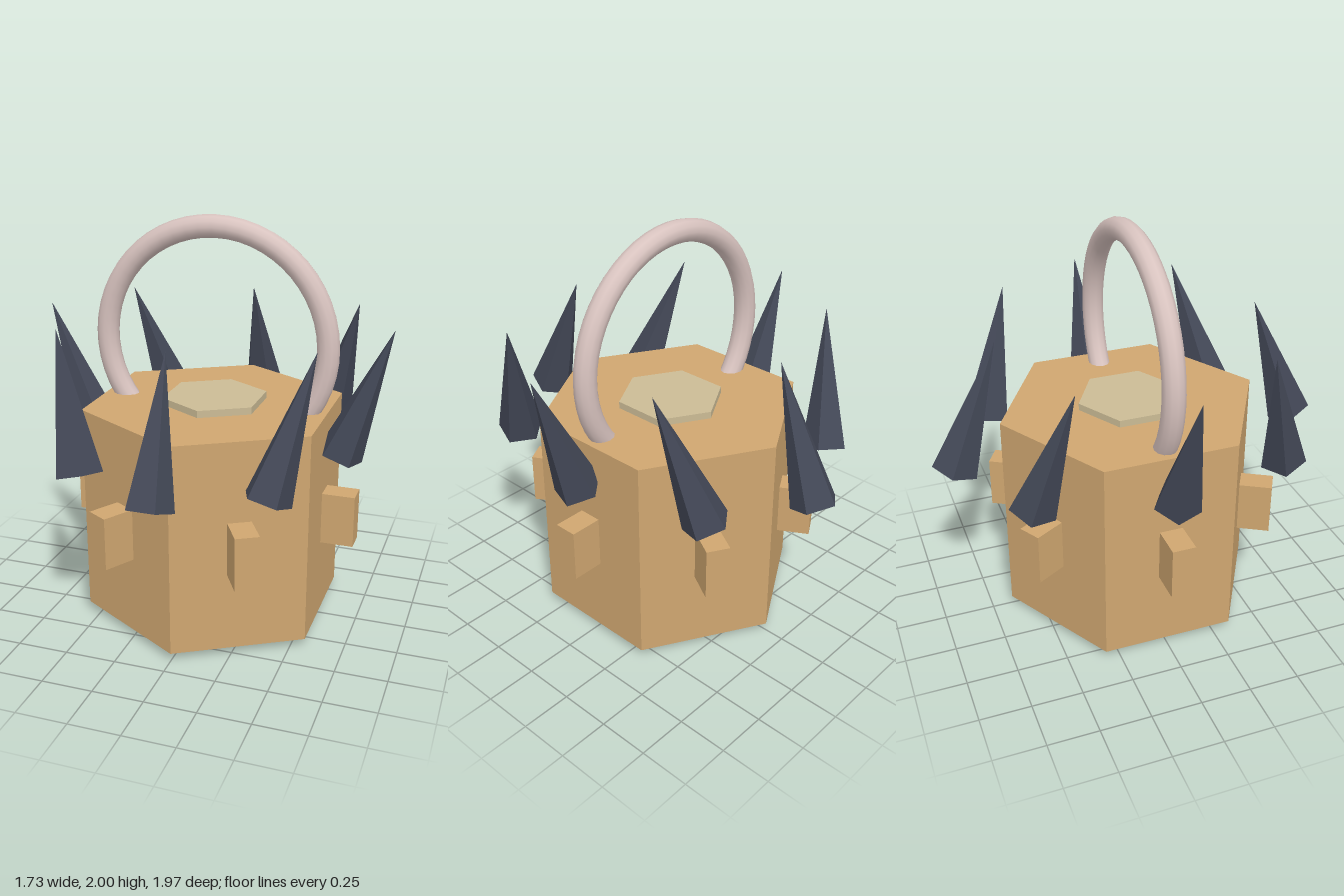
import * as THREE from 'three';

const mat = (name, color, flatShading = true) => {
  const m = new THREE.MeshStandardMaterial({ color, flatShading });
  m.name = name;
  return m;
};

export function createModel() {
  const tan = mat('tan body', 0xcfa670);
  const khaki = mat('khaki cap', 0xcbbb95);
  const slate = mat('slate spike', 0x434857);
  const pink = mat('pale pink handle', 0xd8c3bf, false);

  const model = new THREE.Group();
  const add = (name, geometry, material, x = 0, y = 0, z = 0) => {
    const mesh = new THREE.Mesh(geometry, material);
    mesh.name = name;
    mesh.position.set(x, y, z);
    model.add(mesh);
    return mesh;
  };

  // Six-sided body with a corner facing front
  add('body', new THREE.CylinderGeometry(0.655, 0.655, 1.045, 6), tan, 0, 0.5625);

  // Small hexagonal plates on top and bottom
  const plate = new THREE.CylinderGeometry(0.262, 0.262, 0.06, 6);
  add('topPlate', plate, khaki, 0, 1.09);
  add('bottomPlate', plate, khaki, 0, 0.03);

  // One block on each side face
  const block = new THREE.BoxGeometry(0.23, 0.26, 0.115);
  for (let i = 0; i < 6; i++) {
    const a = (i * Math.PI) / 3;
    add('sideBlock', block, tan, 0.613 * Math.cos(a), 0.56, 0.613 * Math.sin(a)).rotation.y = -a;
  }

  // Ring of eight spikes, leaning outward in x and inward in z
  const spike = new THREE.ConeGeometry(0.115, 0.68, 5);
  spike.rotateY(Math.PI);
  const up = new THREE.Vector3(0, 1, 0);
  for (let i = 0; i < 8; i++) {
    const c = Math.cos((i * Math.PI) / 4), s = Math.sin((i * Math.PI) / 4);
    const lean = new THREE.Vector3(0.342 * c, 0.94, -0.342 * s).normalize();
    add('spike', spike, slate, 0.75 * c, 1.199, 0.77 * s).quaternion.setFromUnitVectors(up, lean);
  }

  // Arched handle whose feet sink into the body
  const arc = Math.PI * 1.5;
  const handle = new THREE.TorusGeometry(0.56, 0.055, 12, 40, arc);
  add('handle', handle, pink, 0, 1.385).rotation.z = (Math.PI - arc) / 2;

  model.position.z = 0.007;
  const root = new THREE.Group();
  root.name = 'spikedHexPot';
  root.add(model);
  return root;
}
